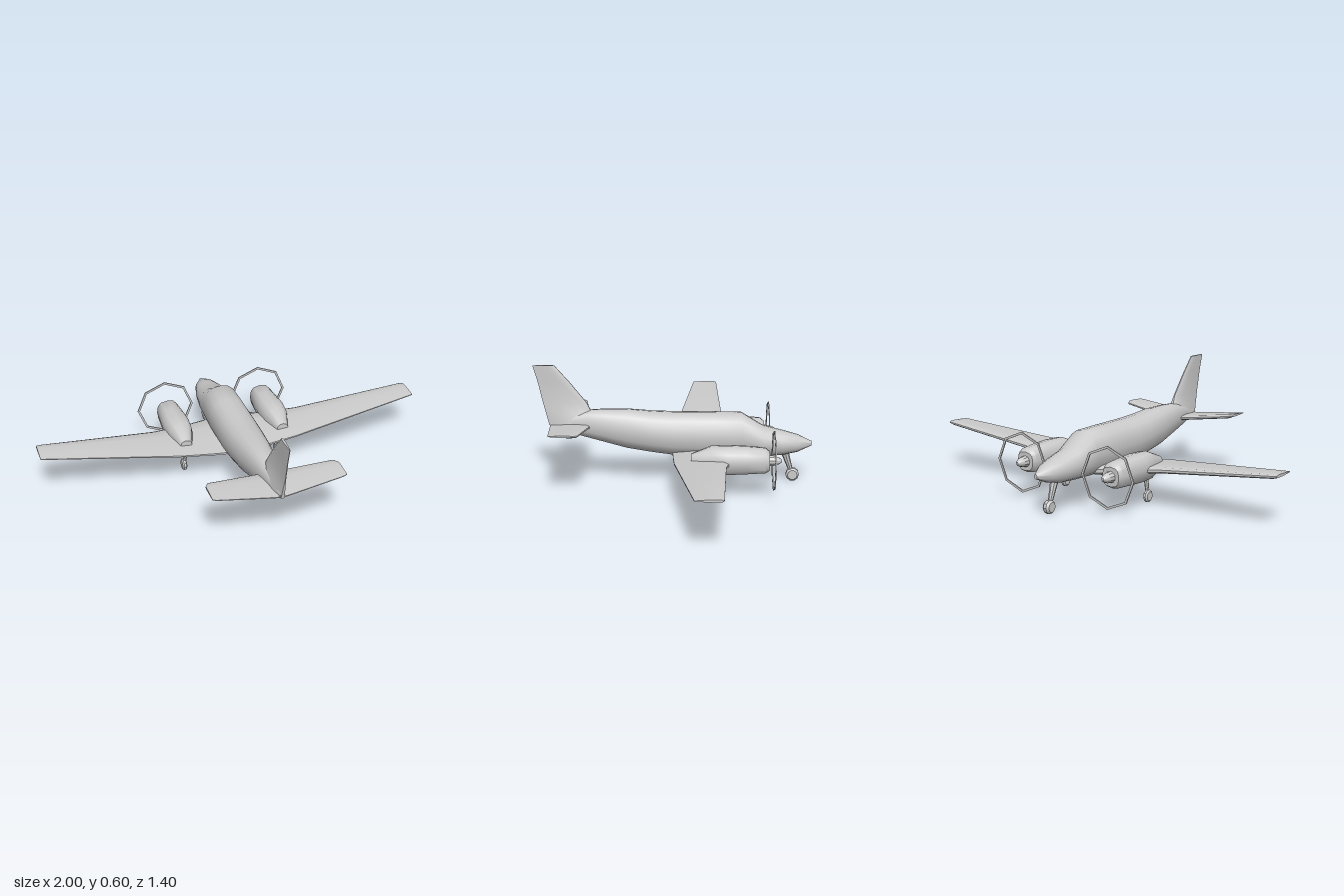
import * as THREE from 'three';
import { toCreasedNormals } from 'three/addons/utils/BufferGeometryUtils.js';

const material = new THREE.MeshStandardMaterial({ color: 0xcccccc });

function add(parent, name, geometry, crease = 0.6) {
  const mesh = new THREE.Mesh(toCreasedNormals(geometry, crease), material);
  mesh.name = name;
  parent.add(mesh);
  return mesh;
}

// Skin a row of closed rings (arrays of [x, y, z]) and cap both ends.
function loft(rings) {
  const n = rings[0].length;
  const points = rings.flat();
  const index = [];
  for (let r = 0; r < rings.length - 1; r++) {
    for (let i = 0; i < n; i++) {
      const a = r * n + i, b = r * n + (i + 1) % n;
      index.push(a, b, b + n, a, b + n, a + n);
    }
  }
  [0, rings.length - 1].forEach((r) => {
    const c = points.length;
    points.push([0, 1, 2].map((k) => rings[r].reduce((s, p) => s + p[k], 0) / n));
    for (let i = 0; i < n; i++) {
      const a = r * n + i, b = r * n + (i + 1) % n;
      index.push(...(r === 0 ? [c, b, a] : [c, a, b]));
    }
  });
  // Turn the faces outward if the enclosed volume comes out negative.
  const v = points.map((p) => new THREE.Vector3(...p));
  let volume = 0;
  for (let i = 0; i < index.length; i += 3) {
    volume += v[index[i]].dot(v[index[i + 1]].clone().cross(v[index[i + 2]]));
  }
  if (volume < 0) index.reverse();
  const geometry = new THREE.BufferGeometry();
  geometry.setAttribute('position', new THREE.Float32BufferAttribute(points.flat(), 3));
  geometry.setIndex(index);
  return geometry;
}

// Rounded body ring: half width w between heights bottom and top.
function bodyRing([z, bottom, top, w], sides = 16, power = 0.85) {
  const curve = (t) => Math.sign(t) * Math.abs(t) ** power;
  return Array.from({ length: sides }, (_, i) => {
    const a = (i / sides) * Math.PI * 2;
    return [w * curve(Math.cos(a)), (top + bottom) / 2 + ((top - bottom) / 2) * curve(Math.sin(a)), z];
  });
}

// Aerofoil outline as [fraction of chord, half thickness].
const UPPER = [[0, 0.35], [0.08, 0.9], [0.3, 1], [0.65, 0.7], [1, 0.2]];
const FOIL = [...UPPER, ...UPPER.map(([c, t]) => [c, -t]).reverse()];

// Horizontal surface from tip to tip; stations are [x, y, front z, rear z, half thickness].
function spanSurface(stations) {
  const left = stations.slice().reverse().map(([x, ...rest]) => [-x, ...rest]);
  return loft([...left, ...stations].map(([x, y, z0, z1, t]) =>
    FOIL.map(([c, h]) => [x, y + h * t, z0 + c * (z1 - z0)])));
}

function rod(from, to, r0, r1) {
  const a = new THREE.Vector3(...from), b = new THREE.Vector3(...to);
  const dir = b.clone().sub(a);
  const geometry = new THREE.CylinderGeometry(r1, r0, dir.length(), 8);
  geometry.applyQuaternion(new THREE.Quaternion().setFromUnitVectors(
    new THREE.Vector3(0, 1, 0), dir.normalize()));
  return geometry.translate(...a.add(b).multiplyScalar(0.5).toArray());
}

function wheel(x, y, z, radius, width) {
  const profile = [[0, -0.5], [0.72, -0.5], [1, -0.22], [1, 0.22], [0.72, 0.5], [0, 0.5]]
    .map(([r, h]) => new THREE.Vector2(r * radius, h * width));
  return new THREE.LatheGeometry(profile, 10).rotateZ(Math.PI / 2).translate(x, y, z);
}

export function createModel() {
  const model = new THREE.Group();
  model.name = 'twinEngineAeroplane';

  // Fuselage, nose to tail: [z, bottom, top, half width]
  add(model, 'fuselage', loft([
    [-0.7, 0.187, 0.21, 0.008], [-0.627, 0.157, 0.243, 0.052], [-0.55, 0.142, 0.264, 0.072],
    [-0.455, 0.136, 0.288, 0.084], [-0.343, 0.132, 0.358, 0.095], [-0.2, 0.134, 0.359, 0.1],
    [0, 0.142, 0.359, 0.1], [0.1, 0.155, 0.362, 0.096], [0.228, 0.175, 0.373, 0.085],
    [0.35, 0.207, 0.373, 0.067], [0.43, 0.228, 0.368, 0.054], [0.515, 0.25, 0.345, 0.034],
    [0.62, 0.28, 0.315, 0.011],
  ].map((s) => bodyRing(s))), 0.75);

  // Wing with dihedral and a wider root
  add(model, 'wing', spanSurface([
    [0.06, 0.163, -0.345, 0.0, 0.026], [0.1, 0.165, -0.33, 0.0, 0.026],
    [0.2, 0.175, -0.3, -0.004, 0.022], [0.31, 0.186, -0.277, -0.01, 0.018],
    [0.39, 0.194, -0.26, -0.021, 0.016], [0.98, 0.25, -0.236, -0.102, 0.011],
    [1, 0.252, -0.232, -0.106, 0.007],
  ]));

  // Tailplane with clipped tips
  add(model, 'tailplane', spanSurface([
    [0.02, 0.29, 0.411, 0.617, 0.012], [0.05, 0.293, 0.415, 0.615, 0.012],
    [0.315, 0.326, 0.455, 0.598, 0.009], [0.332, 0.329, 0.482, 0.592, 0.006],
  ]));

  // Fin, flaring into the fuselage: [y, front z, rear z, half thickness]
  add(model, 'fin', loft([
    [0.29, 0.4, 0.622, 0.045], [0.35, 0.405, 0.637, 0.027], [0.405, 0.432, 0.652, 0.01],
    [0.51, 0.515, 0.675, 0.008], [0.598, 0.592, 0.7, 0.006],
  ].map(([y, z0, z1, t]) => FOIL.map(([c, h]) => [h * t, y, z0 + c * (z1 - z0)]))));

  for (const side of [1, -1]) {
    const engine = new THREE.Group();
    engine.name = side > 0 ? 'leftEngine' : 'rightEngine';
    engine.position.x = 0.26 * side;
    model.add(engine);

    // Engine nacelle
    add(engine, 'nacelle', loft([
      [-0.472, 0.143, 0.237, 0.048], [-0.452, 0.131, 0.254, 0.057], [-0.36, 0.126, 0.261, 0.064],
      [-0.27, 0.123, 0.264, 0.07], [-0.19, 0.125, 0.262, 0.062], [-0.09, 0.15, 0.222, 0.03],
    ].map((s) => bodyRing(s, 12, 0.75))), 0.7);

    // Spinner
    const spinner = [[0, -0.46], [0.03, -0.46], [0.025, -0.495], [0.017, -0.52], [0.007, -0.532], [0, -0.532]]
      .map(([r, z]) => new THREE.Vector2(r, -z));
    add(engine, 'spinner', new THREE.LatheGeometry(spinner, 10).rotateX(-Math.PI / 2).translate(0, 0.19, 0));

    // Propeller sweep: a thin eight-sided ring
    const octagon = (r) => Array.from({ length: 8 }, (_, i) =>
      new THREE.Vector2(Math.cos(i * Math.PI / 4) * r, Math.sin(i * Math.PI / 4) * r));
    const ring = new THREE.Shape(octagon(0.152));
    ring.holes.push(new THREE.Path(octagon(0.14)));
    add(engine, 'propellerRing', new THREE.ExtrudeGeometry(ring, { depth: 0.006, bevelEnabled: false })
      .translate(0, 0.19, -0.498));

    // Main landing gear
    add(engine, 'mainStrut', rod([-0.022 * side, 0.15, -0.163], [-0.006 * side, 0.035, -0.163], 0.013, 0.009));
    add(engine, 'mainWheel', wheel(-0.004 * side, 0.032, -0.165, 0.031, 0.024));
  }

  // Nose landing gear
  add(model, 'noseStrut', rod([0, 0.155, -0.565], [0, 0.04, -0.603], 0.02, 0.01));
  add(model, 'noseWheel', wheel(0, 0.034, -0.606, 0.034, 0.038));

  return model;
}
